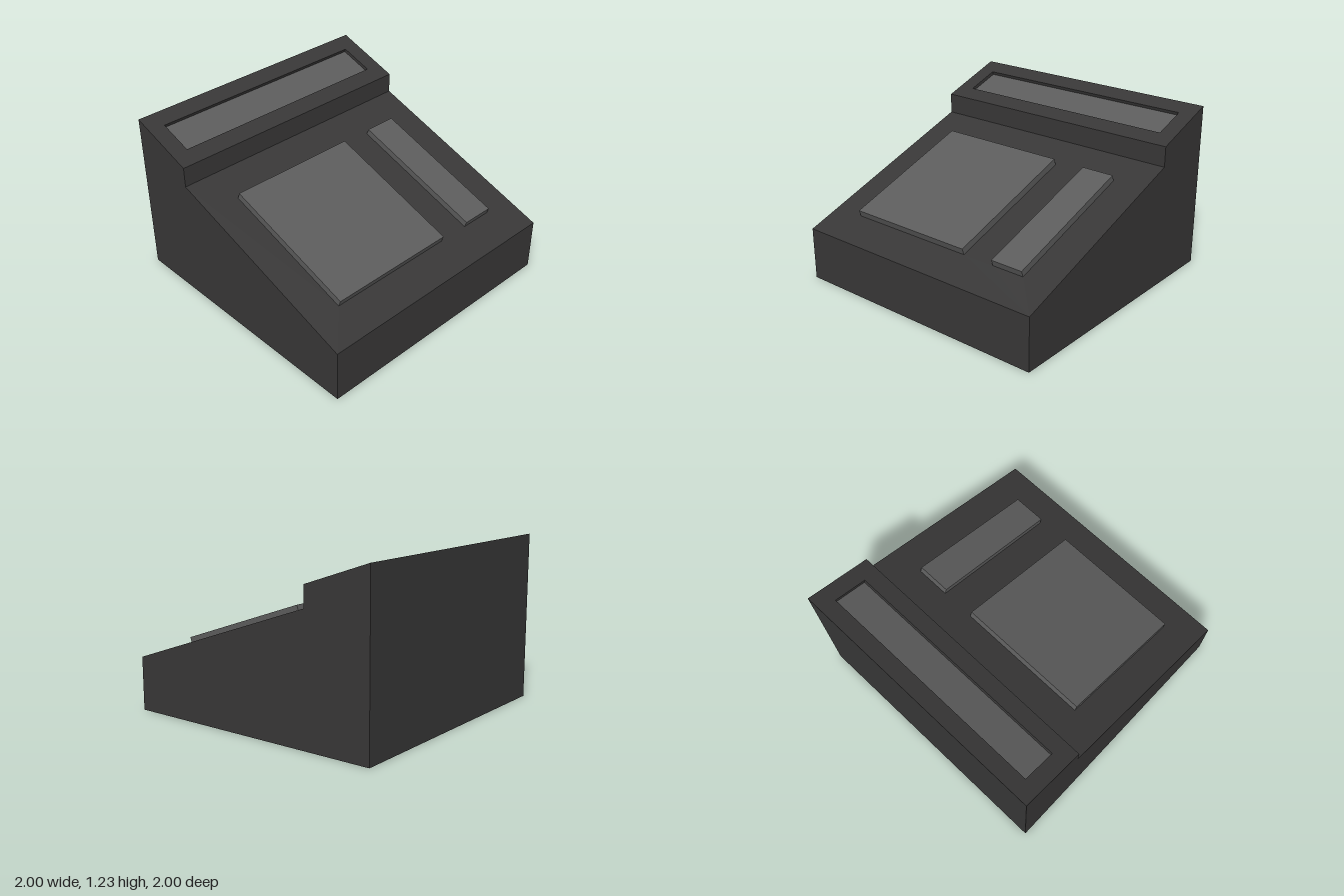
import * as THREE from 'three';
import { mergeGeometries } from 'three/addons/utils/BufferGeometryUtils.js';

const shellMat = new THREE.MeshStandardMaterial({ color: 0x383737 });
const panelMat = new THREE.MeshStandardMaterial({ color: 0x5c5c5c });

// Side outline of the console, running from the low edge up to the high edge
const BACK_TOP = [-1, 1.234], STEP_TOP = [-0.5, 1.062], STEP_FOOT = [-0.5, 0.912], LOW_EDGE = [1, 0.392];
const OUTLINE = [[-1, 0], [1, 0], LOW_EDGE, STEP_FOOT, STEP_TOP, BACK_TOP];

function mesh(name, geometry, material) {
  const m = new THREE.Mesh(geometry, material);
  m.name = name;
  return m;
}

// Flat four-sided face, corners counter-clockwise seen from outside
function quad(a, b, c, d) {
  const g = new THREE.BufferGeometry();
  g.setAttribute('position', new THREE.Float32BufferAttribute([a, b, c, a, c, d].flat(), 3));
  g.computeVertexNormals();
  return g;
}

// Full-depth face below one edge of the outline
const strip = ([x0, y0], [x1, y1]) =>
  quad([x0, y0, 1], [x0, y0, -1], [x1, y1, -1], [x1, y1, 1]);

// Corners of a rectangle on a slope, counter-clockwise from above
const corners = ({ u0, u1, z0, z1 }, h) =>
  [[u0, h, z1], [u1, h, z1], [u1, h, z0], [u0, h, z0]];

const toPoints = (rect) => corners(rect, 0).map(([u, , z]) => new THREE.Vector2(u, -z));

// Slanted deck from point a down to b; insets are raised (h > 0) or sunken (h < 0)
function slope(name, a, b, insets) {
  const group = new THREE.Group();
  group.name = name;
  group.position.set(a[0], a[1], 0);
  const angle = Math.atan2(b[1] - a[1], b[0] - a[0]);
  group.rotation.z = angle;
  const length = Math.hypot(b[0] - a[0], b[1] - a[1]);

  const deck = new THREE.Shape(toPoints({ u0: 0, u1: length, z0: -1, z1: 1 }));
  for (const { label, x0, x1, z0, z1, h } of insets) {
    const rect = { u0: (x0 - a[0]) / Math.cos(angle), u1: (x1 - a[0]) / Math.cos(angle), z0, z1 };
    deck.holes.push(new THREE.Path(toPoints(rect).reverse()));
    const base = corners(rect, 0), top = corners(rect, h);
    const walls = base.map((p, i) => quad(p, base[(i + 1) % 4], top[(i + 1) % 4], top[i]));
    const part = new THREE.Group();
    part.name = label;
    // Sunken walls belong to the shell, raised walls to the pad
    part.add(mesh(label + 'Sides', mergeGeometries(walls), h > 0 ? panelMat : shellMat));
    part.add(mesh(label + 'Face', quad(...top), panelMat));
    group.add(part);
  }
  group.add(mesh(name + 'Surface', new THREE.ShapeGeometry(deck).rotateX(-Math.PI / 2), shellMat));
  return group;
}

export function createModel() {
  const model = new THREE.Group();
  model.name = 'desktopConsole';

  // Side walls
  const side = new THREE.Shape(OUTLINE.map(([x, y]) => new THREE.Vector2(x, y)));
  model.add(mesh('frontWall', new THREE.ShapeGeometry(side).translate(0, 0, 1), shellMat));
  model.add(mesh('backWall', new THREE.ShapeGeometry(side).rotateY(Math.PI).scale(-1, 1, 1).translate(0, 0, -1), shellMat));
  const back = model.getObjectByName('backWall');
  back.geometry = new THREE.ShapeGeometry(
    new THREE.Shape(OUTLINE.map(([x, y]) => new THREE.Vector2(-x, y)))
  ).rotateY(Math.PI).translate(0, 0, -1);

  // Base, low end, step and tall end
  model.add(mesh('base', strip(OUTLINE[0], OUTLINE[1]), shellMat));
  model.add(mesh('lowEnd', strip(OUTLINE[1], LOW_EDGE), shellMat));
  model.add(mesh('step', strip(STEP_FOOT, STEP_TOP), shellMat));
  model.add(mesh('tallEnd', strip(BACK_TOP, OUTLINE[0]), shellMat));

  // Upper deck with a sunken display, lower deck with two raised pads
  model.add(slope('upperDeck', BACK_TOP, STEP_TOP, [
    { label: 'display', x0: -0.875, x1: -0.625, z0: -0.875, z1: 0.875, h: -0.025 },
  ]));
  model.add(slope('lowerDeck', STEP_FOOT, LOW_EDGE, [
    { label: 'mainPad', x0: -0.25, x1: 0.75, z0: -0.25, z1: 0.75, h: 0.05 },
    { label: 'sidePad', x0: -0.25, x1: 0.75, z0: -0.75, z1: -0.5, h: 0.047 },
  ]));
  return model;
}
